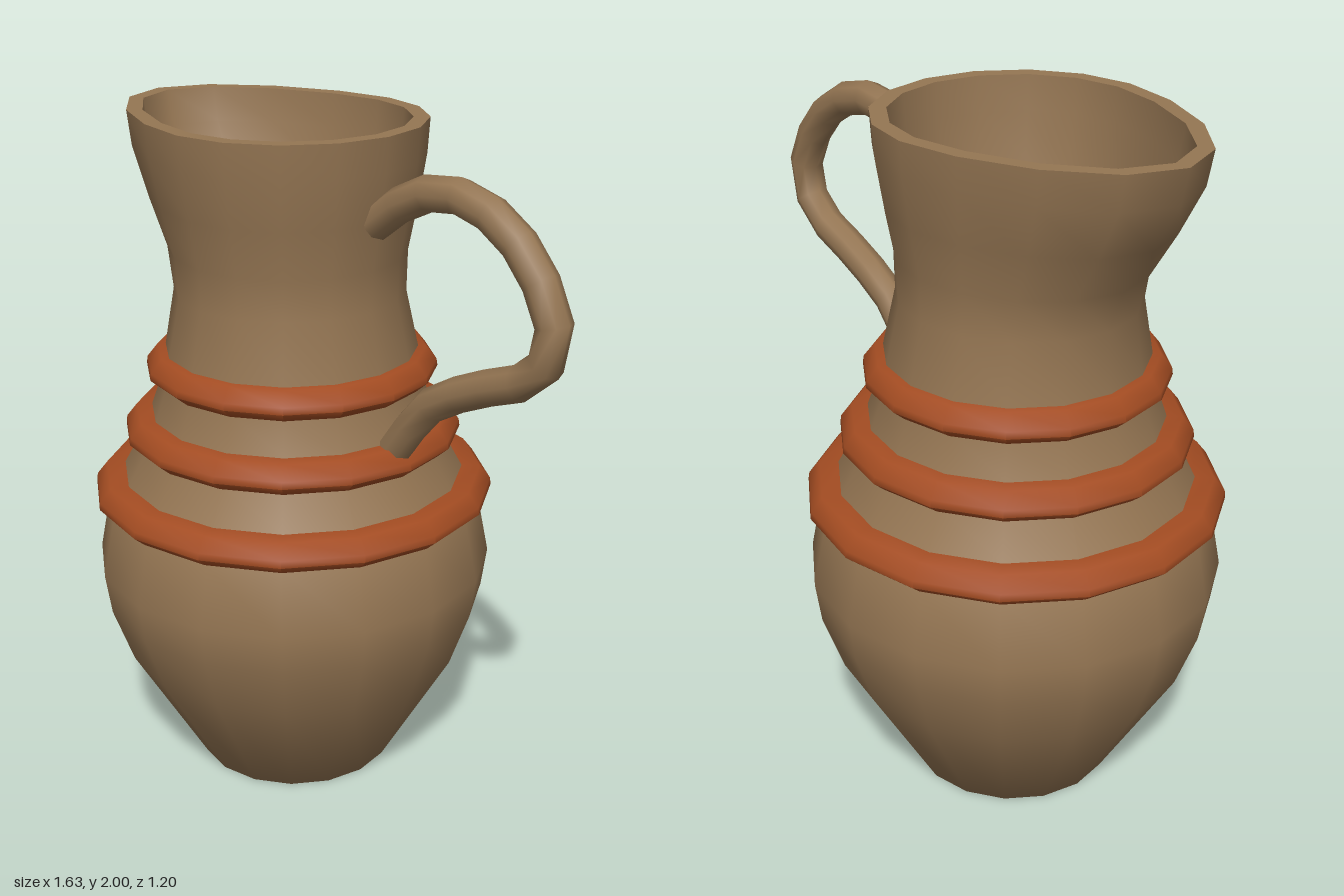
import * as THREE from 'three';
import { toCreasedNormals } from 'three/addons/utils/BufferGeometryUtils.js';

const SIDES = 16;
const AXIS_X = -0.22; // the vessel's axis; the handle reaches out to +x

// Lathe whose profile points are [radius, height, spout pull towards -x]
function turned(profile, crease) {
  const geo = new THREE.LatheGeometry(profile.map(([r, y]) => new THREE.Vector2(r, y)), SIDES);
  const pos = geo.attributes.position;
  for (let i = 0; i < pos.count; i++) {
    const [r, , pull = 0] = profile[i % profile.length];
    const x = pos.getX(i);
    if (x < 0 && r > 0) pos.setX(i, x - pull * (x / r) ** 2);
  }
  return toCreasedNormals(geo, crease);
}

export function createModel() {
  const clay = new THREE.MeshStandardMaterial({ color: 0x957653 });
  clay.name = 'clay';
  const rust = new THREE.MeshStandardMaterial({ color: 0xa34c22 });
  rust.name = 'rust glaze';

  const group = new THREE.Group();
  group.name = 'pitcher';
  const add = (name, geo, mat, x = 0) => {
    const mesh = new THREE.Mesh(geo, mat);
    mesh.name = name;
    mesh.position.x = x;
    group.add(mesh);
    return mesh;
  };

  // Vessel: outer wall upwards, then over the rim and down the inside
  const outer = [
    [0.3, 0], [0.52, 0.38], [0.58, 0.55], [0.597, 0.67], [0.56, 0.86],
    [0.51, 0.95], [0.455, 1.05], [0.42, 1.14], [0.385, 1.24], [0.372, 1.33],
    [0.335, 1.5, 0.02], [0.338, 1.62, 0.055], [0.365, 1.76, 0.125],
    [0.388, 1.9, 0.185], [0.395, 2, 0.2],
  ];
  const wall = 0.047;
  const inner = outer.slice(1).reverse().map(([r, y, s]) => [r - wall, y, s]);
  add('vessel', turned([[0, 0], ...outer, ...inner, [0.28, 0.05], [0, 0.05]], 1.1), clay, AXIS_X);

  // Three raised bands around the shoulder
  [[0.6, 0.86], [0.5, 1.05], [0.43, 1.24]].forEach(([r, y], i) => {
    const profile = [
      [r - 0.09, y], [r - 0.035, y], [r, y + 0.03], [r - 0.003, y + 0.05],
      [r - 0.035, y + 0.09], [r - 0.1, y + 0.09],
    ];
    add(`band${i + 1}`, turned(profile, 1.0), rust, AXIS_X);
  });

  // Handle: a round loop from the neck down to the shoulder
  const path = new THREE.CatmullRomCurve3([
    [0.13, 1.76], [0.26, 1.85], [0.4, 1.89], [0.57, 1.85], [0.7, 1.74], [0.768, 1.59],
    [0.715, 1.475], [0.52, 1.385], [0.35, 1.295], [0.21, 1.12],
  ].map(([x, y]) => new THREE.Vector3(x, y, 0)));
  add('handle', new THREE.TubeGeometry(path, 14, 0.05, 8), clay);

  // Closed handle ends
  for (const [t, dir] of [[0, -1], [1, 1]]) {
    const cap = add('handleEnd', new THREE.CircleGeometry(0.05, 8), clay);
    cap.position.copy(path.getPointAt(t));
    cap.lookAt(cap.position.clone().addScaledVector(path.getTangentAt(t), dir));
  }
  return group;
}
